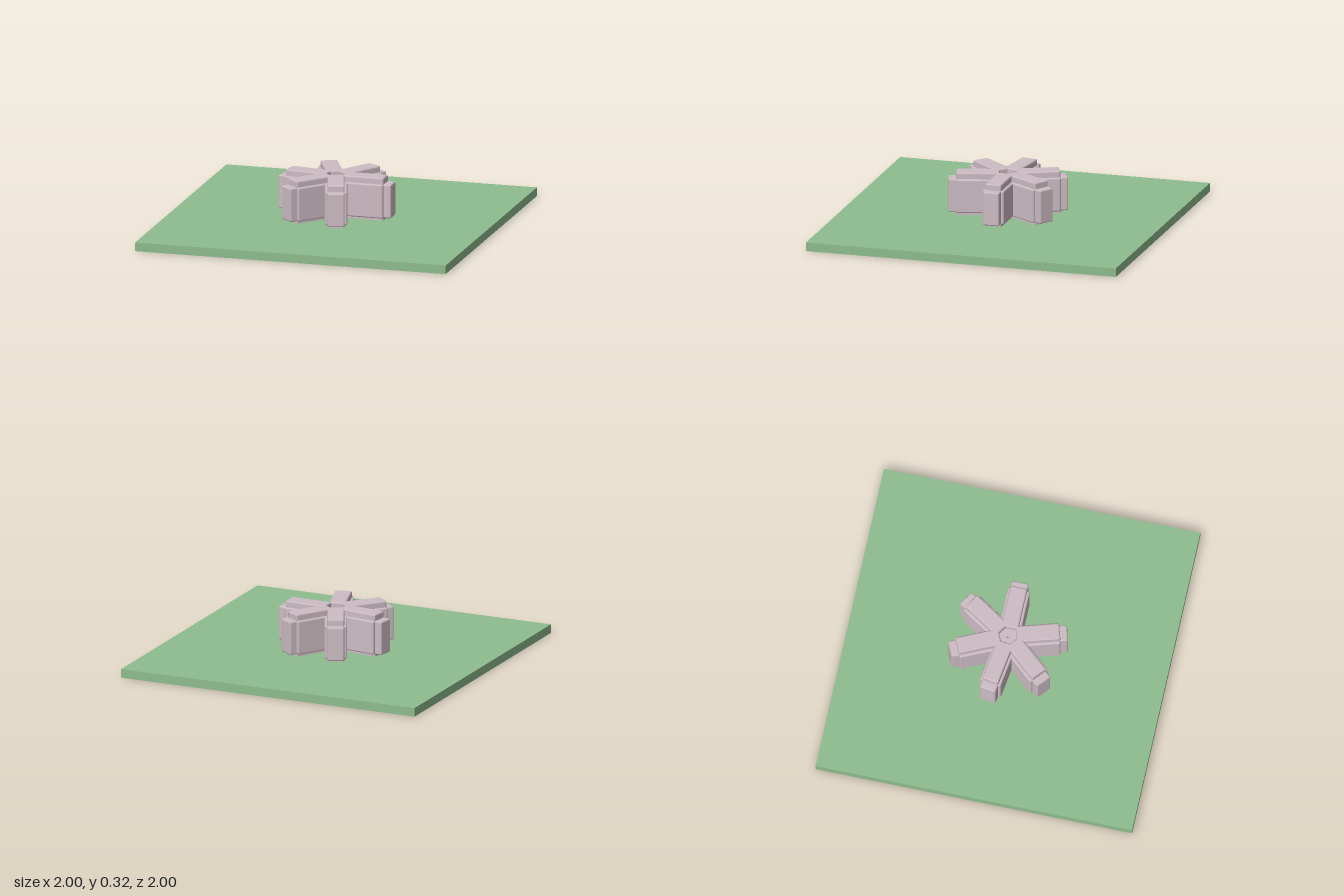
import * as THREE from 'three';
import { RoundedBoxGeometry } from 'three/addons/geometries/RoundedBoxGeometry.js';

const green = new THREE.MeshStandardMaterial({ color: 0x8fbc8f });
green.name = 'grass green';
const stone = new THREE.MeshStandardMaterial({ color: 0xcdbcc4 });
stone.name = 'pale mauve stone';

function part(name, geometry, material, x, y, z) {
  const mesh = new THREE.Mesh(geometry, material);
  mesh.name = name;
  mesh.position.set(x, y, z);
  return mesh;
}

// Bevelled block: length along the arm, height, width
const block = (l, h, w) => new RoundedBoxGeometry(l, h, w, 1, 0.01);

export function createModel() {
  const model = new THREE.Group();
  model.name = 'stoneStarOnLawn';

  // Flat square ground slab
  model.add(part('groundSlab', new THREE.BoxGeometry(2, 0.055, 2), green, 0, 0.0275, 0));

  // Three crossing blocks make one arm; each reaches furthest along one axis
  const tall = block(0.27, 0.295, 0.106);
  const wide = block(0.27, 0.215, 0.14);
  const long = block(0.366, 0.215, 0.106);

  // Six arms, one radian apart
  for (let i = 0; i < 6; i++) {
    const arm = new THREE.Group();
    arm.name = 'arm' + (i + 1);
    arm.rotation.y = i;
    arm.add(
      part('tallBlock', tall, stone, 0.186, 0.1775, 0),
      part('wideBlock', wide, stone, 0.186, 0.1775, 0),
      part('longBlock', long, stone, 0.186, 0.1775, 0)
    );
    model.add(arm);
  }
  return model;
}
